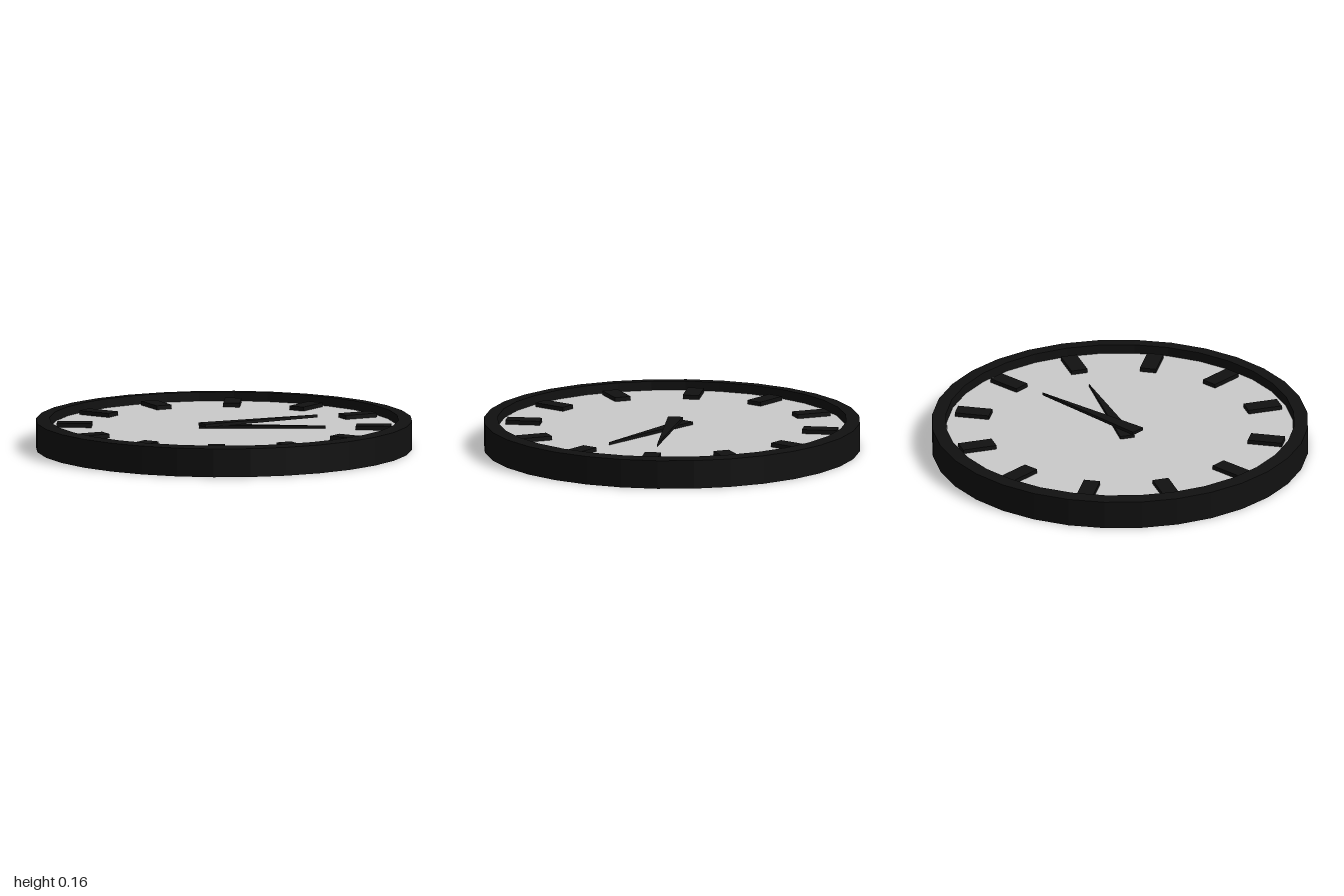
import * as THREE from 'three';

const SIDES = 32;
const FACE_TOP = 0.11;

export function createModel() {
  const clock = new THREE.Group();
  clock.name = 'wallClock';
  const black = new THREE.MeshStandardMaterial({ color: 0x111111, flatShading: true });
  const grey = new THREE.MeshStandardMaterial({ color: 0xcccccc, flatShading: true });

  const add = (name, geometry, material) => {
    const mesh = new THREE.Mesh(geometry, material);
    mesh.name = name;
    clock.add(mesh);
    return mesh;
  };

  // Rim: closed profile, top sloping slightly up towards the inside
  const profile = [[0.927, 0], [1, 0], [1, 0.152], [0.927, 0.158], [0.927, 0]]
    .map(([r, y]) => new THREE.Vector2(r, y));
  add('rim', new THREE.LatheGeometry(profile, SIDES), black);

  // Face: thick disc sitting just inside the rim
  const thickness = FACE_TOP - 0.01;
  add('face', new THREE.CylinderGeometry(0.923, 0.923, thickness, SIDES), grey)
    .position.y = 0.01 + thickness / 2;

  // Twelve hour markers
  const markerGeometry = new THREE.BoxGeometry(0.185, 0.024, 0.088);
  markerGeometry.translate(0.795, FACE_TOP + 0.01, 0);
  for (let i = 0; i < 12; i++) {
    add(`hourMarker${i + 1}`, markerGeometry, black).rotation.y = (i * Math.PI) / 6;
  }

  // Hands: wedges tapering from a wide tail to a sharp tip
  const addHand = (name, length, bottom, angle) => {
    const shape = new THREE.Shape([
      new THREE.Vector2(-0.13, -0.04),
      new THREE.Vector2(length, 0),
      new THREE.Vector2(-0.13, 0.04),
    ]);
    const geometry = new THREE.ExtrudeGeometry(shape, { depth: 0.016, bevelEnabled: false });
    geometry.rotateX(-Math.PI / 2);
    const hand = add(name, geometry, black);
    hand.position.y = bottom;
    hand.rotation.y = angle;
  };
  addHand('hourHand', 0.54, FACE_TOP, 0);
  addHand('minuteHand', 0.555, FACE_TOP + 0.016, Math.PI / 6);

  return clock;
}
